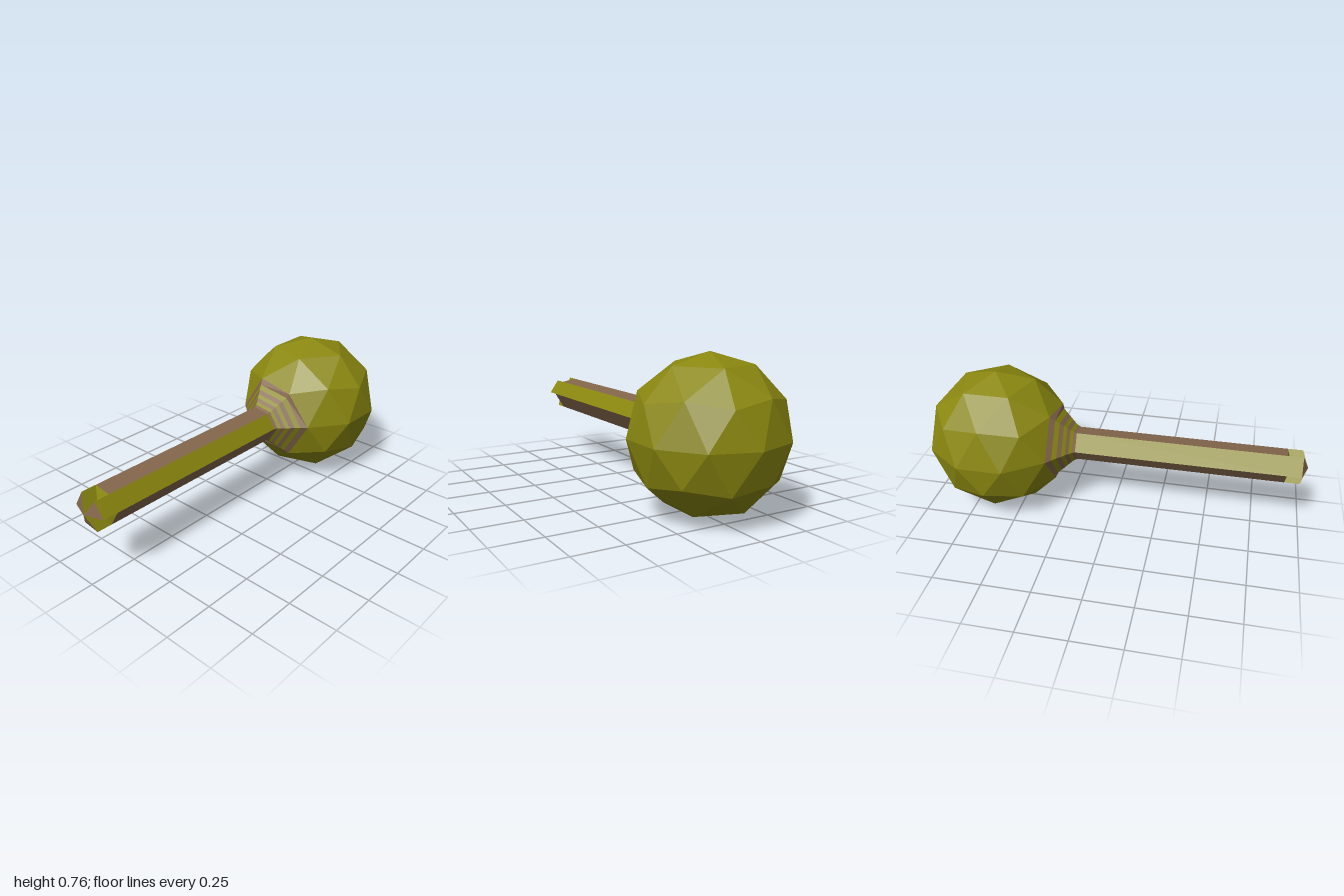
import * as THREE from 'three';

const R = 0.38, CY = 0.38, CZ = -0.62;

// Hexagon of head vertices where the neck starts, counter-clockwise from the front
const HEX = [[0.588, 0], [0.276, 0.447], [-0.263, 0.526], [-0.588, 0], [-0.276, -0.447], [0.263, -0.526]];

export function createModel() {
  const model = new THREE.Group();
  const olive = new THREE.MeshStandardMaterial({ color: 0x8b8810 });
  const brown = new THREE.MeshStandardMaterial({ color: 0x84674c });
  olive.name = 'olive';
  brown.name = 'brown';

  function addMesh(name, points, material) {
    const geometry = new THREE.BufferGeometry().setFromPoints(points);
    geometry.computeVertexNormals();
    const mesh = new THREE.Mesh(geometry, material);
    mesh.name = name;
    model.add(mesh);
  }
  const quad = (list, a, b, c, d) => list.push(a, b, c, a, c, d);
  const ring = (s, z) => HEX.map(([x, y]) => new THREE.Vector3(x * R * s, CY + y * R * s, z));

  // Head: faceted ball, open where the neck grows out of it
  const ball = new THREE.IcosahedronGeometry(R, 1);
  ball.rotateZ(-Math.atan(2 / (1 + Math.sqrt(5))));
  const pos = ball.attributes.position;
  const headPoints = [];
  for (let i = 0; i < pos.count; i += 3) {
    const tri = [0, 1, 2].map(j => new THREE.Vector3().fromBufferAttribute(pos, i + j));
    if (tri.some(p => p.z > R * 0.98)) continue;
    tri.forEach(p => headPoints.push(p.add(new THREE.Vector3(0, CY, CZ))));
  }
  addMesh('head', headPoints, olive);

  // Neck: striped rings narrowing from the head to the handle
  const profile = [[1, -0.313], [0.87, -0.288], [0.77, -0.267], [0.68, -0.248],
    [0.6, -0.232], [0.53, -0.217], [0.47, -0.202], [0.43, -0.187]];
  const rings = profile.map(([s, z]) => ring(s, z));
  // the first ring meets the head corners exactly
  rings[0].forEach((p, k) => { p.z = CZ + R * (k % 3 === 1 ? 0.851 : 0.809); });
  const stripes = [[], []];
  for (let i = 0; i < rings.length - 1; i++) {
    for (let k = 0; k < 6; k++) {
      const n = (k + 1) % 6;
      quad(stripes[i % 2], rings[i][k], rings[i][n], rings[i + 1][n], rings[i + 1][k]);
    }
  }
  addMesh('neckBrownStripes', stripes[0], brown);
  addMesh('neckOliveStripes', stripes[1], olive);

  // Handle: six wedges, alternately long and short
  const base = rings[rings.length - 1];
  const longEnd = ring(0.43, 0.967), shortEnd = ring(0.43, 0.89);
  const longTip = new THREE.Vector3(0, CY, 1), shortTip = new THREE.Vector3(0, CY, 0.923);
  const sides = [[], []], caps = [[], []], walls = [];
  for (let k = 0; k < 6; k++) {
    const n = (k + 1) % 6, isLong = k % 2 === 0;
    const end = isLong ? longEnd : shortEnd;
    quad(sides[k % 2], base[k], base[n], end[n], end[k]);
    caps[k % 2].push(isLong ? longTip : shortTip, end[k], end[n]);
    if (isLong) {
      quad(walls, shortTip, shortEnd[k], longEnd[k], longTip);
      quad(walls, longTip, longEnd[n], shortEnd[n], shortTip);
    }
  }
  addMesh('handleLongSides', sides[0], olive);
  addMesh('handleShortSides', sides[1], brown);
  addMesh('handleLongCaps', caps[0], brown);
  addMesh('handleShortCaps', caps[1], olive);
  addMesh('handleNotchWalls', walls, olive);

  return model;
}
